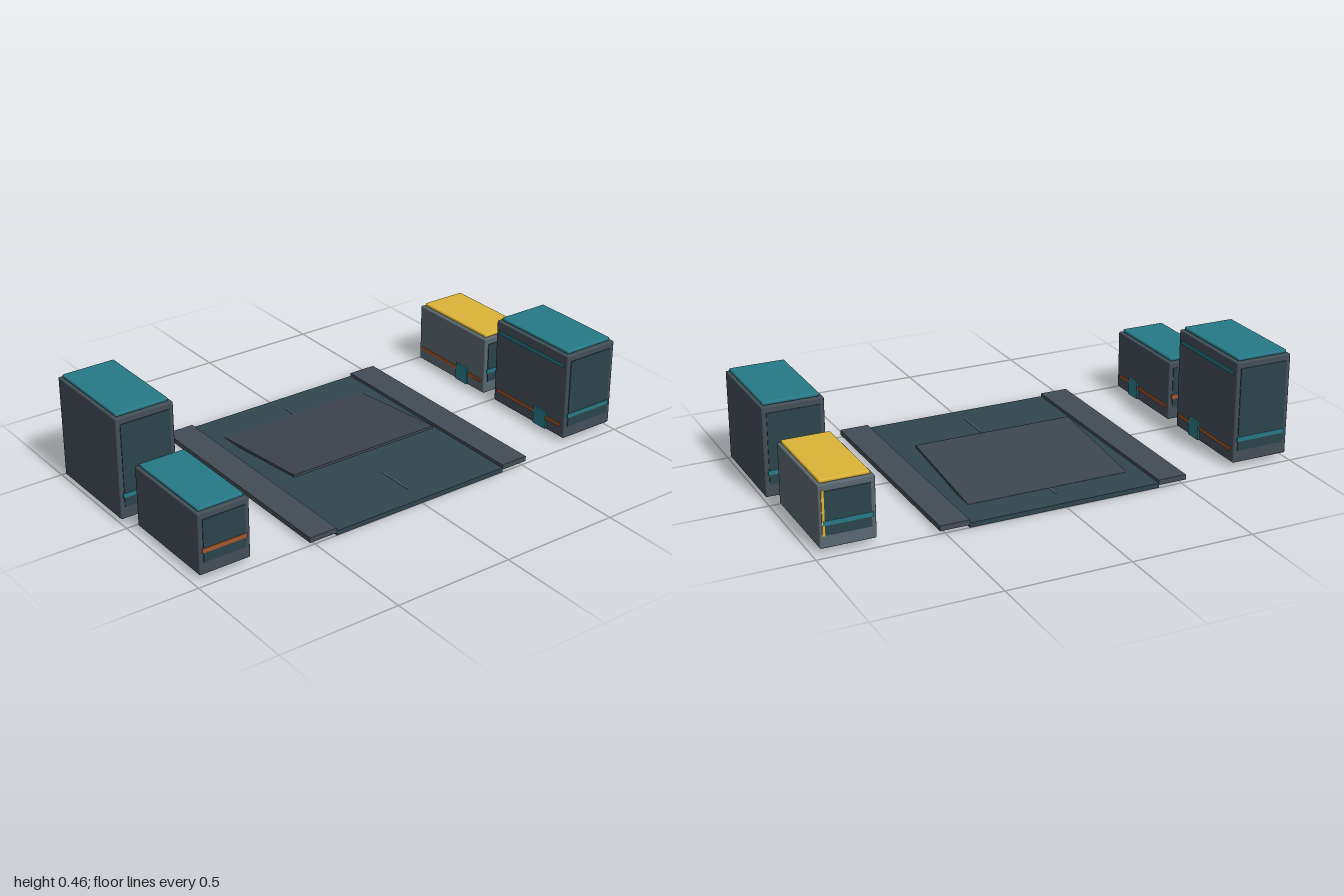
import * as THREE from 'three';
import { RoundedBoxGeometry } from 'three/addons/geometries/RoundedBoxGeometry.js';

const colors = {
  wall: 0x434e57, paleWall: 0x5a6870, glass: 0x2c444c, road: 0x30464f, pavement: 0x434c55,
  slab: 0x3d454e, line: 0x55646c, teal: 0x277a88, yellow: 0xdcb437, orange: 0xa4552a,
};
const materials = {};
for (const key in colors) materials[key] = new THREE.MeshStandardMaterial({ color: colors[key] });

// Box given by its [min, max] range on each axis; a radius rounds its edges
function box(parent, name, mat, [x0, x1], [y0, y1], [z0, z1], radius = 0) {
  const size = [x1 - x0, y1 - y0, z1 - z0];
  const geo = radius ? new RoundedBoxGeometry(...size, 2, radius) : new THREE.BoxGeometry(...size);
  const mesh = new THREE.Mesh(geo, materials[mat]);
  mesh.name = name;
  mesh.position.set((x0 + x1) / 2, (y0 + y1) / 2, (z0 + z1) / 2);
  parent.add(mesh);
  return mesh;
}

// One building: side is the sign of x, inner is the |x| of the wall facing the road
function building({ name, side, inner, outer, z, top, wall, roof, band, trim, upperBand }) {
  const g = new THREE.Group();
  g.name = name;
  const xr = (a, b) => (side > 0 ? [a, b] : [-b, -a]);
  const [z0, z1] = z;

  box(g, 'walls', wall, xr(inner, outer), [0.02, top], z, 0.005);
  box(g, 'roof', roof, xr(inner + 0.012, outer - 0.01), [top, top + 0.015], [z0 + 0.014, z1 - 0.014], 0.006);

  // Glazed end walls, front and back
  for (const dir of [1, -1]) {
    const face = dir > 0 ? z1 : z0;
    const zr = (d) => (dir > 0 ? [face - 0.004, face + d] : [face - d, face + 0.004]);
    box(g, 'window', 'glass', xr(inner + 0.018, outer - 0.018), [0.07, top - 0.025], zr(0.003));
    box(g, 'windowBand', band, xr(inner + 0.013, outer - 0.013), [0.11, 0.128], zr(0.005));
    if (trim) box(g, 'cornerTrim', trim, xr(outer - 0.02, outer - 0.01), [0.07, top - 0.02], zr(0.004));
  }

  // Road-side wall: stripes and door
  const onWall = (d) => xr(inner - d, inner + 0.004);
  const along = [z0 + 0.018, z1 - 0.018];
  box(g, 'lowerStripe', 'orange', onWall(0.004), [0.066, 0.08], along);
  if (upperBand) box(g, 'upperStripe', 'teal', onWall(0.004), [top - 0.055, top - 0.04], along);
  const doorZ = z1 - 0.14;
  box(g, 'door', 'teal', onWall(0.007), [0.022, 0.098], [doorZ - 0.036, doorZ + 0.036]);
  return g;
}

export function createModel() {
  const model = new THREE.Group();
  model.name = 'streetBlock';

  // Road with a dashed centre line and raised pavements
  box(model, 'road', 'road', [-0.4, 0.4], [0, 0.019], [-0.5, 0.5]);
  for (const z of [-0.33, 0, 0.33])
    box(model, 'laneDash', 'line', [-0.003, 0.003], [0.018, 0.021], [z - 0.08, z + 0.08]);
  for (const s of [1, -1])
    box(model, 'pavement', 'pavement', s > 0 ? [0.4, 0.52] : [-0.52, -0.4], [0.011, 0.032], [-0.5, 0.5]);

  // Tilted slab lying on the road
  const slab = box(model, 'tiltedSlab', 'slab', [-0.34, 0.34], [0.034, 0.045], [-0.355, 0.141]);
  slab.rotation.x = -0.1;

  // Four buildings, two on each side
  const back = [-0.465, -0.035], front = [0.035, 0.462];
  model.add(
    building({ name: 'backRightBuilding', side: -1, inner: 0.755, outer: 1, z: back, top: 0.44, wall: 'wall', roof: 'teal', band: 'teal', upperBand: true }),
    building({ name: 'frontRightBuilding', side: -1, inner: 0.755, outer: 0.97, z: front, top: 0.27, wall: 'wall', roof: 'teal', band: 'orange' }),
    building({ name: 'frontLeftBuilding', side: 1, inner: 0.752, outer: 1, z: front, top: 0.385, wall: 'wall', roof: 'teal', band: 'teal', upperBand: true }),
    building({ name: 'backLeftBuilding', side: 1, inner: 0.752, outer: 0.97, z: back, top: 0.268, wall: 'paleWall', roof: 'yellow', band: 'teal', trim: 'yellow' }),
  );
  return model;
}
